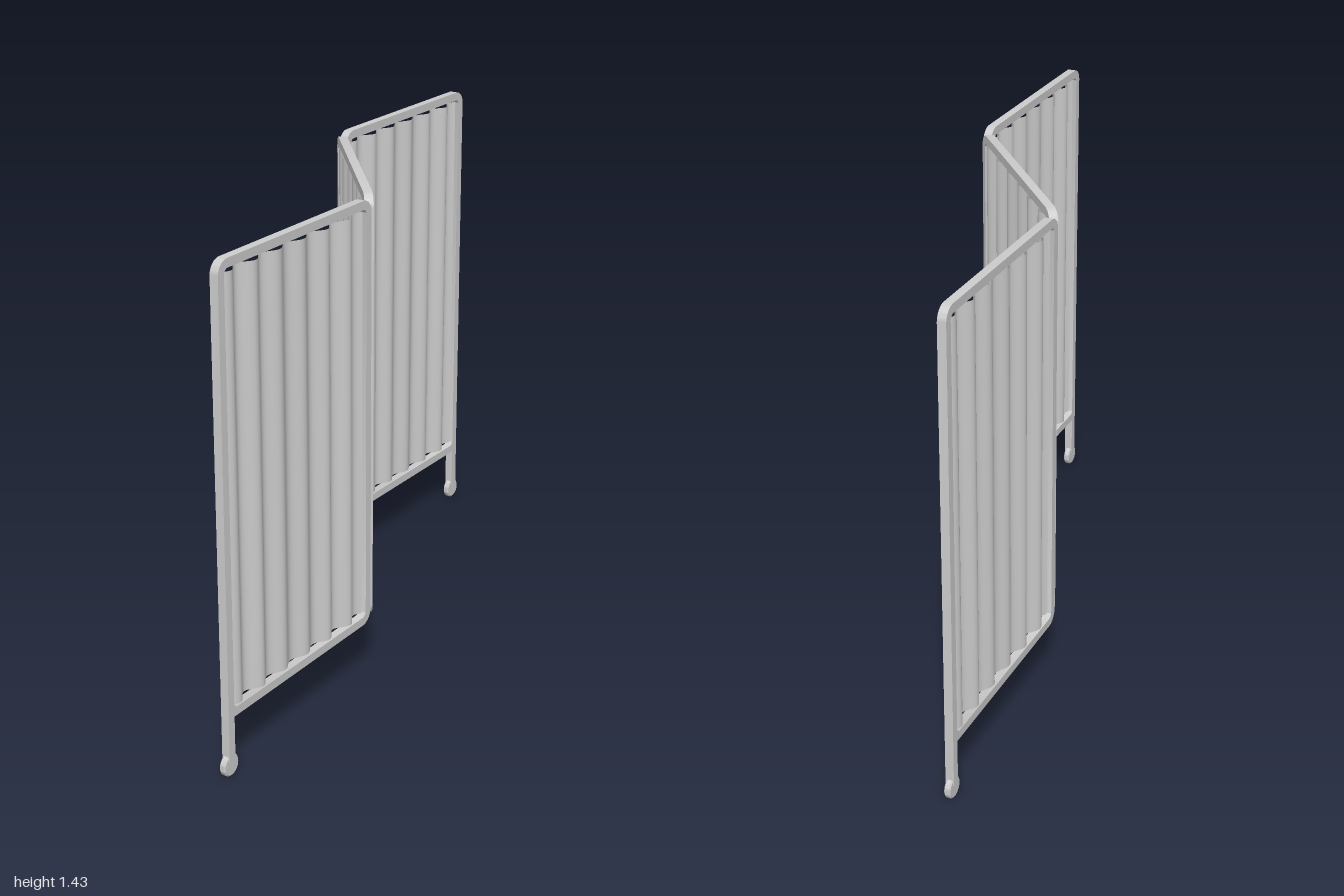
import * as THREE from 'three';
import { toCreasedNormals } from 'three/addons/utils/BufferGeometryUtils.js';

const W = 0.683, T = 0.025, BOTTOM = 0.175, TOP = 1.435, BAR = 0.025;
const TILT = THREE.MathUtils.degToRad(20);
const grey = new THREE.MeshStandardMaterial({ color: 0xcccccc });
const cloth = new THREE.MeshStandardMaterial({ color: 0xcccccc, side: THREE.DoubleSide });

function part(name, geometry, material = grey) {
  const mesh = new THREE.Mesh(geometry, material);
  mesh.name = name;
  return mesh;
}

// Rounded outline; with a leg, the +x side runs straight down past the bottom rail
function outline(path, x, y0, y1, r, legY) {
  path.moveTo(-x + r, y0);
  if (legY !== undefined) {
    path.lineTo(x - BAR, y0);
    path.lineTo(x - BAR, legY);
    path.lineTo(x, legY);
  } else {
    path.lineTo(x - r, y0);
    path.absarc(x - r, y0 + r, r, -Math.PI / 2, 0);
  }
  path.lineTo(x, y1 - r);
  path.absarc(x - r, y1 - r, r, 0, Math.PI / 2);
  path.lineTo(-x + r, y1);
  path.absarc(-x + r, y1 - r, r, Math.PI / 2, Math.PI);
  path.lineTo(-x, y0 + r);
  path.absarc(-x + r, y0 + r, r, Math.PI, Math.PI * 1.5);
  return path;
}

function frameGeometry(hasLeg) {
  const shape = outline(new THREE.Shape(), W / 2, BOTTOM, TOP, 0.04, hasLeg ? 0.045 : undefined);
  shape.holes.push(outline(new THREE.Path(), W / 2 - BAR, BOTTOM + BAR, TOP - BAR, 0.016));
  const geo = new THREE.ExtrudeGeometry(shape, { depth: T, bevelEnabled: false, curveSegments: 8 });
  geo.translate(0, 0, -T / 2);
  return toCreasedNormals(geo, 0.6);
}

// Cloth sheet gathered into soft vertical folds
function curtainGeometry() {
  const y0 = BOTTOM + BAR + 0.006, y1 = TOP - BAR - 0.01, w = W - 2 * BAR;
  const geo = new THREE.PlaneGeometry(w, y1 - y0, 96, 1);
  geo.translate(0, (y0 + y1) / 2, 0);
  const p = geo.attributes.position;
  for (let i = 0; i < p.count; i++) {
    const u = p.getX(i) / w + 0.5;
    p.setZ(i, 0.013 * Math.sin(u * 12 * Math.PI) * (0.9 + 0.15 * Math.sin(u * 9)));
  }
  geo.computeVertexNormals();
  return geo;
}

// Disc wheel with eased edges, axis across the panel
function wheelGeometry() {
  const profile = [[0, -0.0095], [0.028, -0.0095], [0.032, -0.006], [0.032, 0.006], [0.028, 0.0095], [0, 0.0095]];
  const geo = new THREE.LatheGeometry(profile.map(([r, y]) => new THREE.Vector2(r, y)), 28);
  geo.rotateX(Math.PI / 2);
  return toCreasedNormals(geo, 0.5);
}

function panel(name, z, angle, hasLeg) {
  const group = new THREE.Group();
  group.name = name;
  group.add(part('frame', frameGeometry(hasLeg)), part('curtain', curtainGeometry(), cloth));
  if (hasLeg) {
    const wheel = part('wheel', wheelGeometry());
    wheel.position.set(W / 2 - BAR / 2, 0.033, 0);
    group.add(wheel);
  }
  group.position.z = z;
  group.rotation.y = angle;
  return group;
}

export function createModel() {
  const model = new THREE.Group();
  model.name = 'foldingScreen';
  const q = Math.PI / 2;
  model.add(
    panel('frontPanel', 0.66, -q - TILT, true),
    panel('middlePanel', 0, -q + TILT, false),
    panel('backPanel', -0.66, q - TILT, true)
  );
  return model;
}
